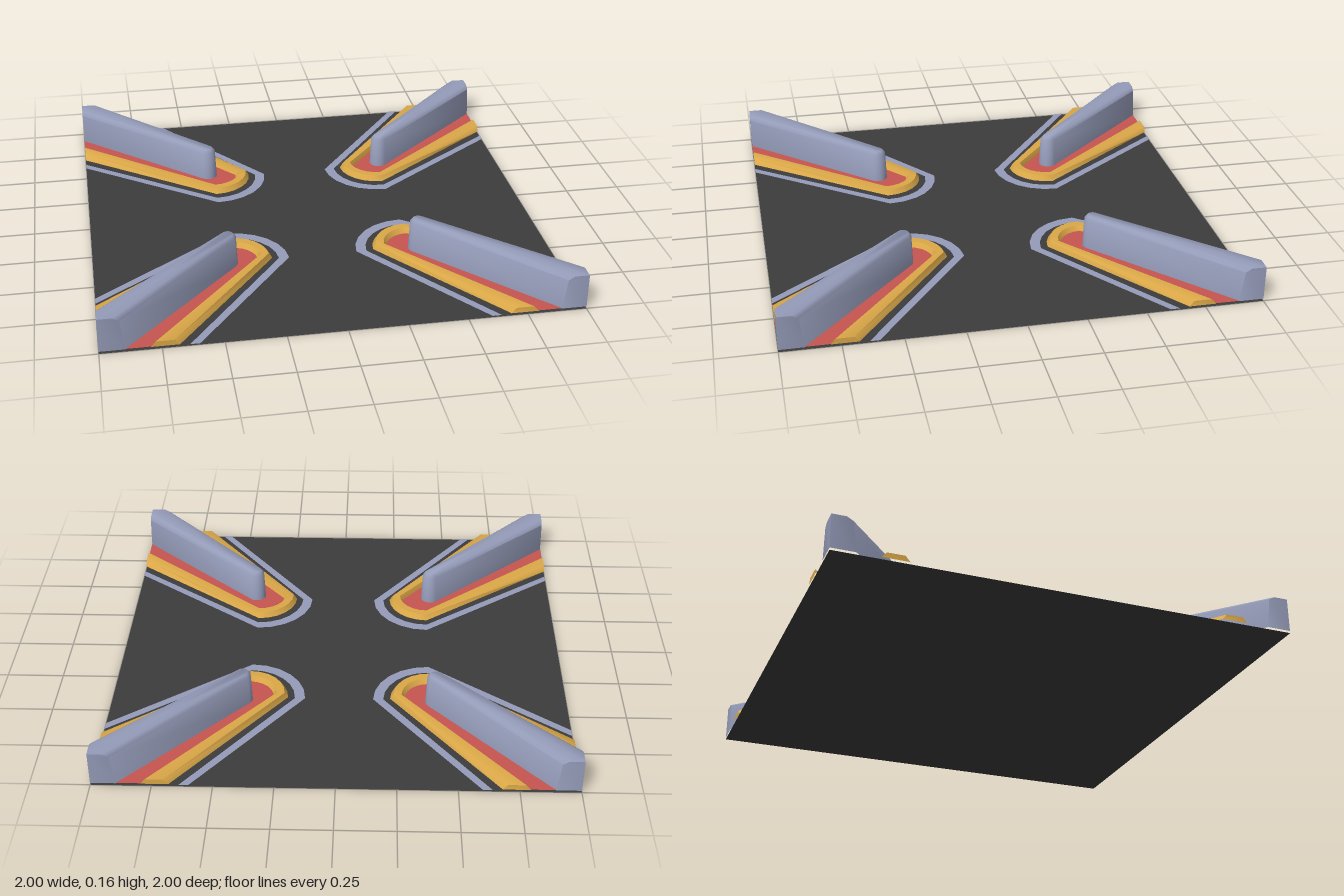
import * as THREE from 'three';
import { toCreasedNormals } from 'three/addons/utils/BufferGeometryUtils.js';

const mat = (name, color, side = THREE.FrontSide) => {
  const m = new THREE.MeshStandardMaterial({ color, side });
  m.name = name;
  return m;
};

// Points of an arc that faces the tile centre, as [x, z]
function arc(c, r, from, to, steps) {
  const pts = [];
  for (let i = 0; i <= steps; i++) {
    const a = from + (to - from) * i / steps;
    pts.push([c + r * Math.cos(a), c + r * Math.sin(a)]);
  }
  return pts;
}

// Island outline: from the side edge, round the nose, to the front edge
const outline = (r, edge, y) =>
  [[1, edge], ...arc(0.4, r, -Math.PI / 2, -Math.PI, 6), [edge, 1]].map(([x, z]) => [x, y, z]);

// Closed wall outline, wide at the tile corner and narrow at the nose
const wallRing = (w, r, y) =>
  [[1, 1], [1, 1 - w], ...arc(0.42, r, -Math.PI / 4, -Math.PI * 1.25, 8), [1 - w, 1], [1, 1]]
    .map(([x, z]) => [x, y, z]);

// Skin between rows of points, with optional end caps
function loft(rows, caps = false) {
  const n = rows[0].length;
  const index = [];
  for (let k = 0; k < rows.length - 1; k++) {
    for (let i = 0; i < n - 1; i++) {
      const a = k * n + i, c = a + n;
      index.push(a, a + 1, c, a + 1, c + 1, c);
    }
  }
  if (caps) {
    for (let k = 1; k < rows.length - 1; k++) {
      index.push(0, k * n, (k + 1) * n);
      index.push(n - 1, (k + 2) * n - 1, (k + 1) * n - 1);
    }
  }
  const g = new THREE.BufferGeometry();
  g.setAttribute('position', new THREE.Float32BufferAttribute(rows.flat(2), 3));
  g.setIndex(index);
  return toCreasedNormals(g, 1.0);
}

// Row with every point in one place, used to close a surface
const pointRow = (row, p) => row.map(() => p);

export function createModel() {
  const model = new THREE.Group();
  model.name = 'crossroadTile';

  const asphalt = mat('asphalt', 0x3c3c3c, THREE.DoubleSide);
  const greyBlue = mat('greyBlue', 0x959cb9);
  const yellow = mat('yellow', 0xdba848);
  const red = mat('red', 0xc6554f);

  // Flat road surface
  const road = new THREE.Mesh(new THREE.PlaneGeometry(2, 2).rotateX(-Math.PI / 2), asphalt);
  road.name = 'road';
  model.add(road);

  // Painted line, red paving, curb and wall of one corner
  const line = loft([outline(0.25, 0.60, 0.006), outline(0.205, 0.64, 0.006)]);
  const pavingEdge = outline(0.13, 0.76, 0.012);
  const paving = loft([pavingEdge, pointRow(pavingEdge, [1, 0.012, 1])]);
  const curb = loft([
    outline(0.175, 0.68, 0.01),
    outline(0.16, 0.70, 0.034),
    outline(0.125, 0.775, 0.034),
    outline(0.11, 0.795, 0.01),
  ], true);
  const wallTop = wallRing(0.062, 0.024, 0.16);
  const wall = loft([
    wallRing(0.105, 0.042, 0.01),
    wallRing(0.088, 0.036, 0.145),
    wallTop,
    pointRow(wallTop, [0.7, 0.16, 0.7]),
  ]);

  const parts = [
    ['paintedLine', line, greyBlue],
    ['redPaving', paving, red],
    ['curb', curb, yellow],
    ['dividerWall', wall, greyBlue],
  ];

  // The same island in all four corners
  for (let q = 0; q < 4; q++) {
    const island = new THREE.Group();
    island.name = 'cornerIsland' + (q + 1);
    for (const [name, geometry, material] of parts) {
      const mesh = new THREE.Mesh(geometry, material);
      mesh.name = name;
      island.add(mesh);
    }
    island.rotation.y = q * Math.PI / 2;
    model.add(island);
  }
  return model;
}
